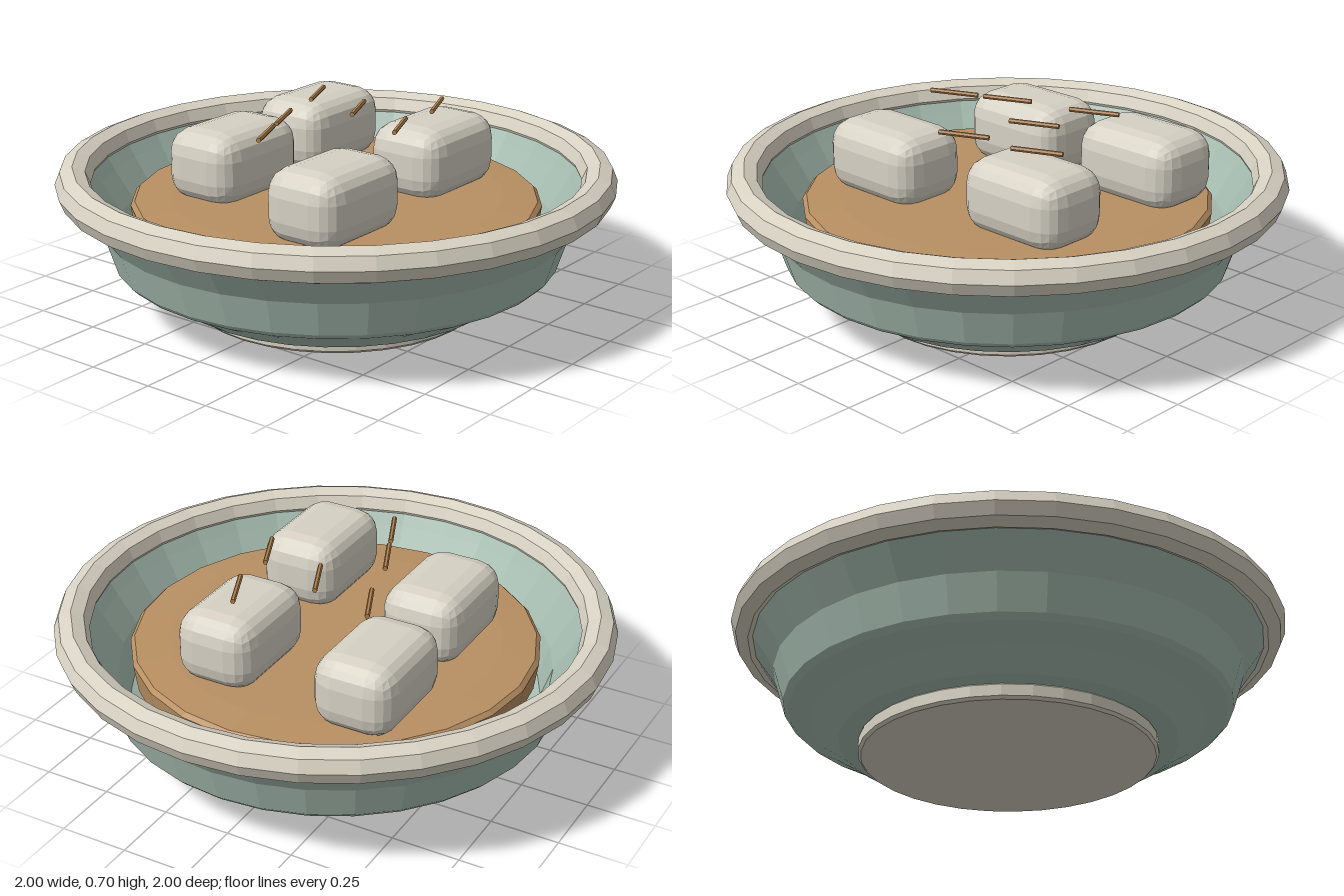
import * as THREE from 'three';
import { RoundedBoxGeometry } from 'three/addons/geometries/RoundedBoxGeometry.js';

const material = (name, color) => {
  const m = new THREE.MeshStandardMaterial({ color });
  m.name = name;
  return m;
};

// Give every face its own flat normal
const faceted = (geometry) => {
  const g = geometry.index ? geometry.toNonIndexed() : geometry;
  g.computeVertexNormals();
  return g;
};

const lathe = (profile, segments) =>
  faceted(new THREE.LatheGeometry(profile.map(([r, y]) => new THREE.Vector2(r, y)), segments));

export function createModel() {
  const group = new THREE.Group();
  const cream = material('cream glaze', 0xd8d2c3);
  const green = material('celadon glaze', 0xa6bcb0);
  const broth = material('broth brown', 0xb88f62);
  const tofu = material('tofu white', 0xd6d1c4);
  const wood = material('shaving brown', 0xb0804c);

  const add = (name, geometry, mat, x = 0, y = 0, z = 0) => {
    const mesh = new THREE.Mesh(geometry, mat);
    mesh.name = name;
    mesh.position.set(x, y, z);
    group.add(mesh);
    return mesh;
  };

  // Foot under the bowl
  add('foot', lathe([[0, 0], [0.52, 0], [0.53, 0.01], [0.53, 0.05], [0.52, 0.06], [0, 0.06]], 32), cream);

  // Bowl shell: outside from the base upward, then down the inside
  add('bowl', lathe([
    [0, 0.055], [0.6, 0.055], [0.7, 0.12], [0.78, 0.16], [0.8, 0.18], [0.84, 0.305], [0.92, 0.42],
    [0.93, 0.47], [0.88, 0.47], [0.85, 0.42], [0.78, 0.31], [0.74, 0.2], [0.56, 0.11], [0, 0.1],
  ], 32), green);

  // Rounded rim
  const rim = new THREE.TorusGeometry(0.935, 0.063, 8, 32);
  rim.rotateX(-Math.PI / 2);
  add('rim', faceted(rim), cream, 0, 0.473, 0);

  // Broth with a gently domed surface
  add('broth', lathe([[0, 0.28], [0.72, 0.28], [0.735, 0.385], [0.72, 0.4], [0.6, 0.408], [0, 0.412]], 24), broth);

  // Soft-edged blocks
  const block = faceted(new RoundedBoxGeometry(0.435, 0.265, 0.305, 2, 0.09));
  [[-0.18, -0.33], [0.343, -0.35], [-0.328, 0.243], [0.312, 0.202]]
    .forEach(([x, z]) => add('tofuBlock', block, tofu, x, 0.518, z));

  // Thin shavings above the blocks
  const stick = new THREE.CylinderGeometry(0.009, 0.009, 0.184, 6);
  stick.rotateZ(Math.PI / 2);
  const shaving = faceted(stick);
  [[-0.13, -0.135], [0.195, -0.24], [-0.322, -0.055], [0.128, 0], [0.035, 0.253], [0.33, 0.203]]
    .forEach(([x, z]) => { add('shaving', shaving, wood, x, 0.69, z).rotation.y = 0.41; });

  return group;
}
